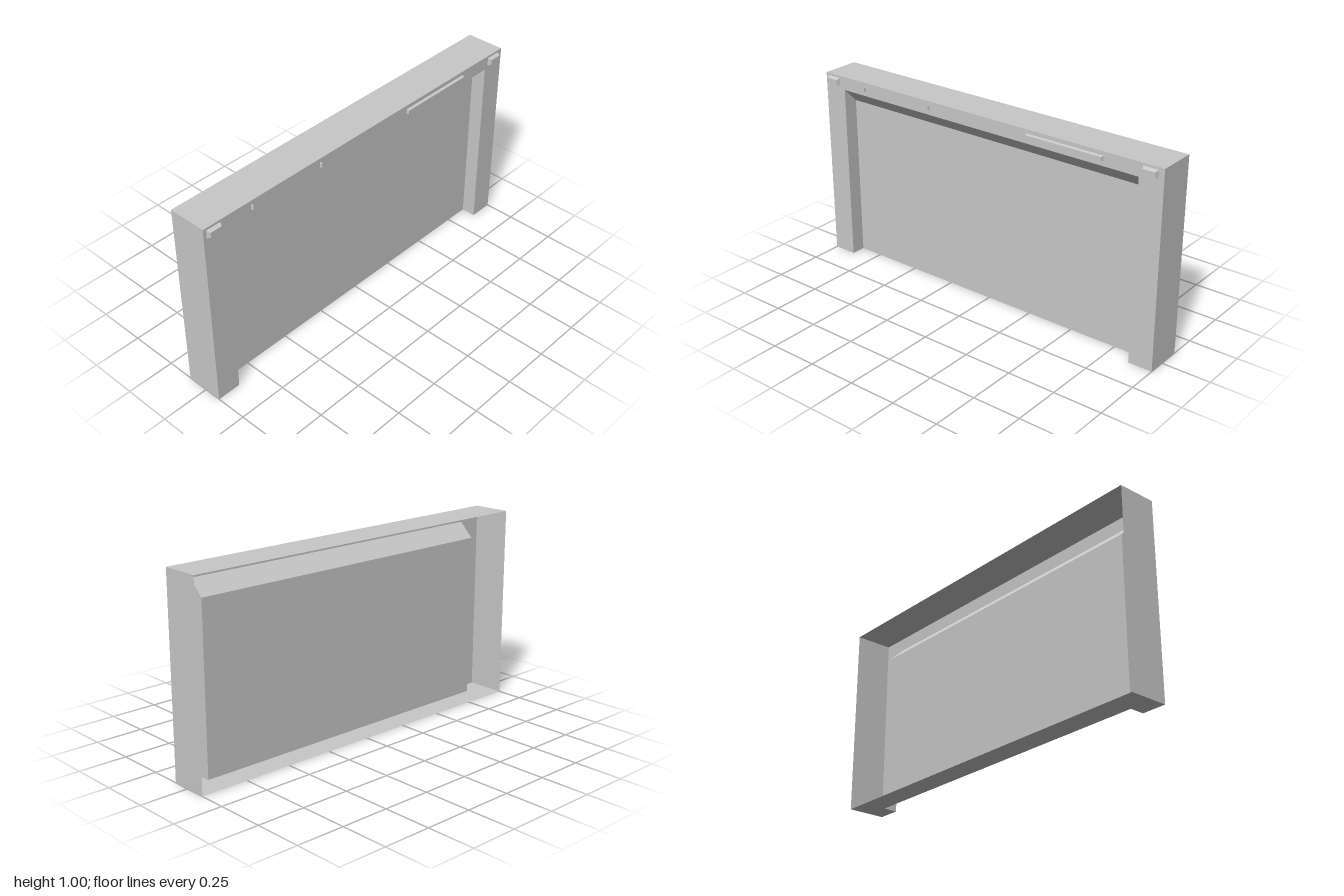
import * as THREE from 'three';

export function createModel() {
  const model = new THREE.Group();
  const grey = new THREE.MeshStandardMaterial({ color: 0xc8c8c8, side: THREE.DoubleSide });
  grey.name = 'lightGrey';

  const BACK = -0.11, FRONT = 0.09, PANEL = 0.015; // depths of the shell
  const OPEN = 0.875, OPEN_TOP = 0.93, PANEL_TOP = 0.855; // recess outline

  function add(name, geometry) {
    const mesh = new THREE.Mesh(geometry, grey);
    mesh.name = name;
    model.add(mesh);
    return mesh;
  }

  // flat sheet with corners listed in order around its edge
  function sheet(name, corners) {
    const g = new THREE.BufferGeometry();
    const idx = [];
    for (let i = 1; i < corners.length - 1; i++) idx.push(0, i, i + 1);
    g.setAttribute('position', new THREE.Float32BufferAttribute(corners.flat(), 3));
    g.setIndex(idx);
    g.computeVertexNormals();
    return add(name, g);
  }

  // box whose front end is narrowed by inset on every side
  function taperedBlock(name, x, y, w, h, d, inset) {
    const g = new THREE.BoxGeometry(w, h, d).toNonIndexed();
    const p = g.attributes.position;
    for (let i = 0; i < p.count; i++) {
      if (p.getZ(i) < 0) continue;
      p.setX(i, p.getX(i) - Math.sign(p.getX(i)) * inset);
      p.setY(i, p.getY(i) - Math.sign(p.getY(i)) * inset);
    }
    g.computeVertexNormals();
    add(name, g).position.set(x, y, FRONT + d / 2);
  }

  // front frame: two legs and a top rail
  const frame = new THREE.Shape([
    [-1, 0], [-OPEN, 0], [-OPEN, OPEN_TOP], [OPEN, OPEN_TOP],
    [OPEN, 0], [1, 0], [1, 1], [-1, 1],
  ].map(([x, y]) => new THREE.Vector2(x, y)));
  add('frontFrame', new THREE.ShapeGeometry(frame).translate(0, 0, FRONT));

  // outer walls; the back stays open
  sheet('topWall', [[-1, 1, FRONT], [1, 1, FRONT], [1, 1, BACK], [-1, 1, BACK]]);
  sheet('bottomWall', [[-1, 0, BACK], [1, 0, BACK], [1, 0, PANEL], [-1, 0, PANEL]]);
  sheet('rightWall', [[-1, 0, BACK], [-1, 0, FRONT], [-1, 1, FRONT], [-1, 1, BACK]]);
  sheet('leftWall', [[1, 0, FRONT], [1, 0, BACK], [1, 1, BACK], [1, 1, FRONT]]);

  // recessed panel and its sloping head
  sheet('recessPanel', [[-OPEN, 0, PANEL], [OPEN, 0, PANEL], [OPEN, PANEL_TOP, PANEL], [-OPEN, PANEL_TOP, PANEL]]);
  sheet('recessSlope', [[-OPEN, PANEL_TOP, PANEL], [OPEN, PANEL_TOP, PANEL], [OPEN, OPEN_TOP, FRONT], [-OPEN, OPEN_TOP, FRONT]]);

  for (const s of [-1, 1]) {
    const side = s < 0 ? 'right' : 'left';
    // recess cheeks and leg soles
    const cheek = [[s * OPEN, 0, FRONT], [s * OPEN, 0, PANEL], [s * OPEN, PANEL_TOP, PANEL], [s * OPEN, OPEN_TOP, FRONT]];
    sheet(side + 'RecessCheek', s < 0 ? cheek : cheek.reverse());
    const sole = [[s * OPEN, 0, PANEL], [s, 0, PANEL], [s, 0, FRONT], [s * OPEN, 0, FRONT]];
    sheet(side + 'LegSole', s > 0 ? sole : sole.reverse());
    // corner knobs
    taperedBlock(side + 'Knob', s < 0 ? -0.944 : 0.933, 0.967, 0.078, 0.042, 0.018, 0.008);
  }

  // raised bar on the left, bare end stubs on the right
  taperedBlock('leftBar', 0.484, 0.967, 0.42, 0.026, 0.013, 0.004);
  for (const x of [-0.728, -0.309]) taperedBlock('rightBarEnd', x, 0.967, 0.008, 0.026, 0.012, 0.003);

  return model;
}
